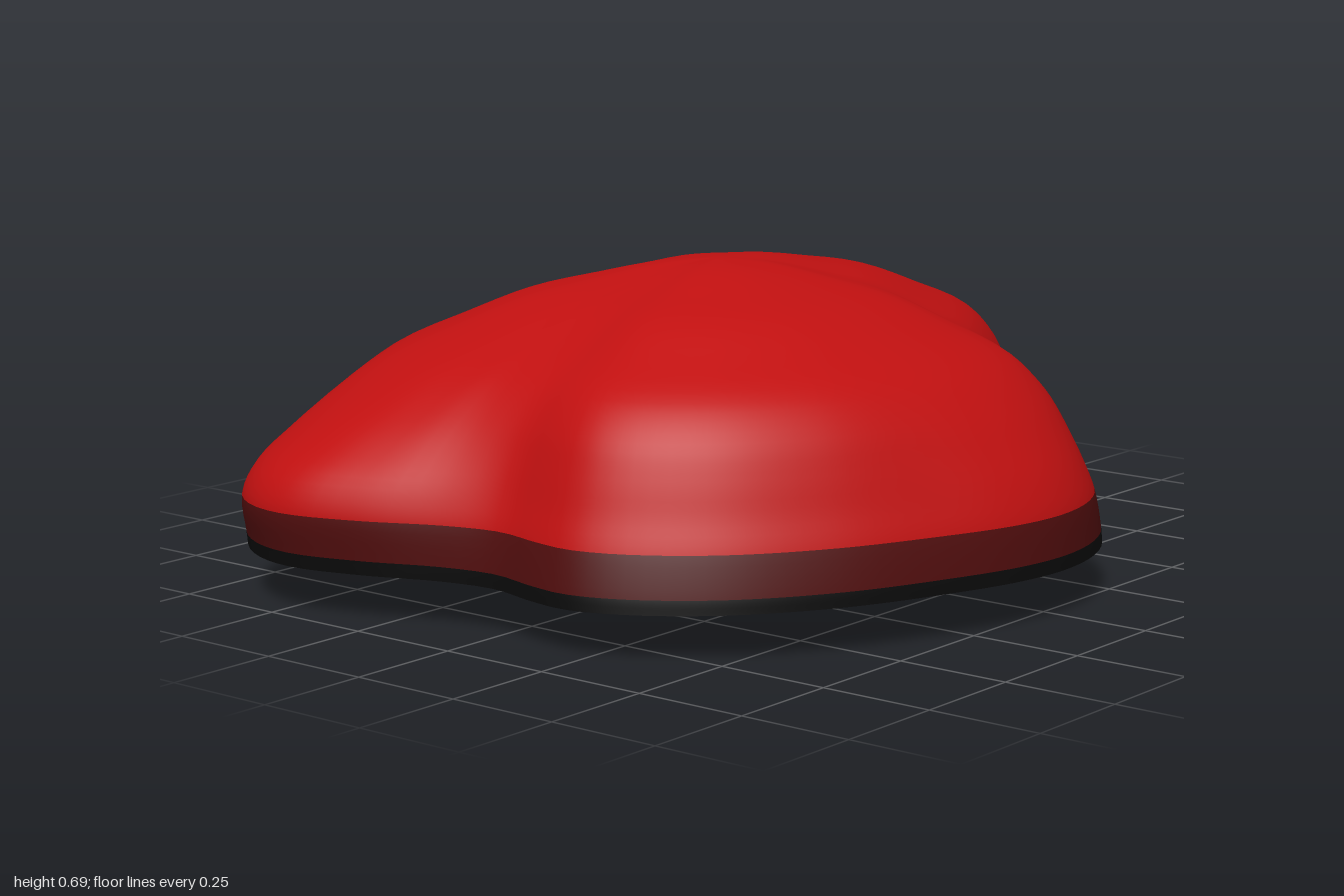
import * as THREE from 'three';

// Footprint of the lobed cap as x, z pairs, counter-clockwise seen from above
const OUTLINE = [
  1.0, -0.12, 0.97, -0.25, 0.9, -0.34, 0.72, -0.49, 0.5, -0.68, 0.32, -0.79, 0.16, -0.82,
  0, -0.8, -0.15, -0.78, -0.3, -0.79, -0.5, -0.82, -0.7, -0.785, -0.87, -0.72, -0.97, -0.6,
  -1.0, -0.47, -0.96, -0.3, -0.89, -0.13, -0.865, 0, -0.89, 0.12, -0.9, 0.22, -0.86, 0.34,
  -0.74, 0.5, -0.55, 0.64, -0.33, 0.74, -0.15, 0.8, 0, 0.815, 0.15, 0.785, 0.28, 0.71,
  0.37, 0.58, 0.45, 0.43, 0.53, 0.35, 0.65, 0.28, 0.8, 0.18, 0.93, 0.05,
];
// Height, then share of the footprint radius for the full lobes and the low lobe
const HEIGHTS = [0.1, 0.13, 0.215, 0.28, 0.35, 0.42, 0.49, 0.555, 0.61, 0.645, 0.677, 0.69];
const FULL = [1, 0.995, 0.967, 0.935, 0.905, 0.865, 0.785, 0.63, 0.48, 0.32, 0.15, 0];
const LOW = [0.98, 0.985, 1, 0.97, 0.88, 0.77, 0.65, 0.5, 0.36, 0.24, 0.1, 0];

const CENTRE = -0.075; // x and z of the stem
const SIDES = 144;
const STEPS = 4; // rows between two profile points

const profile = (shares) =>
  new THREE.CatmullRomCurve3(shares.map((s, i) => new THREE.Vector3(s, HEIGHTS[i], 0)));

// Bell-shaped weight around a direction
function bell(angle, middle, width) {
  const d = Math.atan2(Math.sin(angle - middle), Math.cos(angle - middle));
  return Math.exp(-((d / width) ** 2));
}

export function createModel() {
  const group = new THREE.Group();
  const material = (name, color) => {
    const m = new THREE.MeshStandardMaterial({ color });
    m.name = name;
    return m;
  };
  const red = material('red', 0xc01010);
  const darkRed = material('dark red', 0x4f0d0d);
  const black = material('black', 0x0a0a0a);

  const points = [];
  for (let i = 0; i < OUTLINE.length; i += 2) {
    points.push(new THREE.Vector3(OUTLINE[i], 0, OUTLINE[i + 1]));
  }
  const rim = new THREE.CatmullRomCurve3(points, true).getSpacedPoints(SIDES).slice(0, SIDES);

  // Rings of the cap, shrinking towards a slightly shifted apex
  const rows = (HEIGHTS.length - 1) * STEPS;
  const full = profile(FULL);
  const low = profile(LOW);
  const positions = [];
  for (let i = 0; i < rows; i++) {
    const a = full.getPoint(i / rows);
    const b = low.getPoint(i / rows);
    for (const p of rim) {
      const dx = p.x - CENTRE;
      const dz = p.z - CENTRE;
      const angle = Math.atan2(dz, dx);
      const w = Math.min(1, bell(angle, -2.7, 0.4) + 0.4 * bell(angle, 1.5, 0.4));
      const s = a.x + (b.x - a.x) * w;
      const y = a.y + (b.y - a.y) * w;
      const top = 1 - Math.min(s, 1);
      positions.push(CENTRE - 0.06 * top + dx * s, y, CENTRE + 0.07 * top + dz * s);
    }
  }
  positions.push(CENTRE - 0.06, HEIGHTS[HEIGHTS.length - 1], CENTRE + 0.07);

  const index = [];
  const apex = rows * SIDES;
  for (let i = 0; i < rows; i++) {
    for (let j = 0; j < SIDES; j++) {
      const k = (j + 1) % SIDES;
      const a = i * SIDES + j;
      const b = i * SIDES + k;
      if (i === rows - 1) index.push(a, b, apex);
      else index.push(a, b, a + SIDES, b, b + SIDES, a + SIDES);
    }
  }
  const capGeometry = new THREE.BufferGeometry();
  capGeometry.setAttribute('position', new THREE.Float32BufferAttribute(positions, 3));
  capGeometry.setIndex(index);
  capGeometry.computeVertexNormals();
  // Black rim, dark red band, red top
  const band = STEPS * SIDES * 6;
  capGeometry.addGroup(0, band, 0);
  capGeometry.addGroup(band, band, 1);
  capGeometry.addGroup(band * 2, index.length - band * 2, 2);
  const cap = new THREE.Mesh(capGeometry, [black, darkRed, red]);
  cap.name = 'cap';
  group.add(cap);

  // Flat underside closing the rim
  const bottom = positions.slice(0, SIDES * 3);
  bottom.push(CENTRE, HEIGHTS[0], CENTRE);
  const fan = [];
  for (let j = 0; j < SIDES; j++) fan.push(SIDES, (j + 1) % SIDES, j);
  const bottomGeometry = new THREE.BufferGeometry();
  bottomGeometry.setAttribute('position', new THREE.Float32BufferAttribute(bottom, 3));
  bottomGeometry.setIndex(fan);
  bottomGeometry.computeVertexNormals();
  const underside = new THREE.Mesh(bottomGeometry, black);
  underside.name = 'underside';
  group.add(underside);

  // Thin pointed stem
  const stemProfile = [[0, 0], [0.003, 0.02], [0.007, 0.06], [0.011, 0.085], [0.02, 0.101]];
  const stem = new THREE.Mesh(
    new THREE.LatheGeometry(stemProfile.map(([x, y]) => new THREE.Vector2(x, y)), 16),
    black,
  );
  stem.name = 'stem';
  stem.position.set(CENTRE, 0, CENTRE);
  group.add(stem);

  return group;
}
